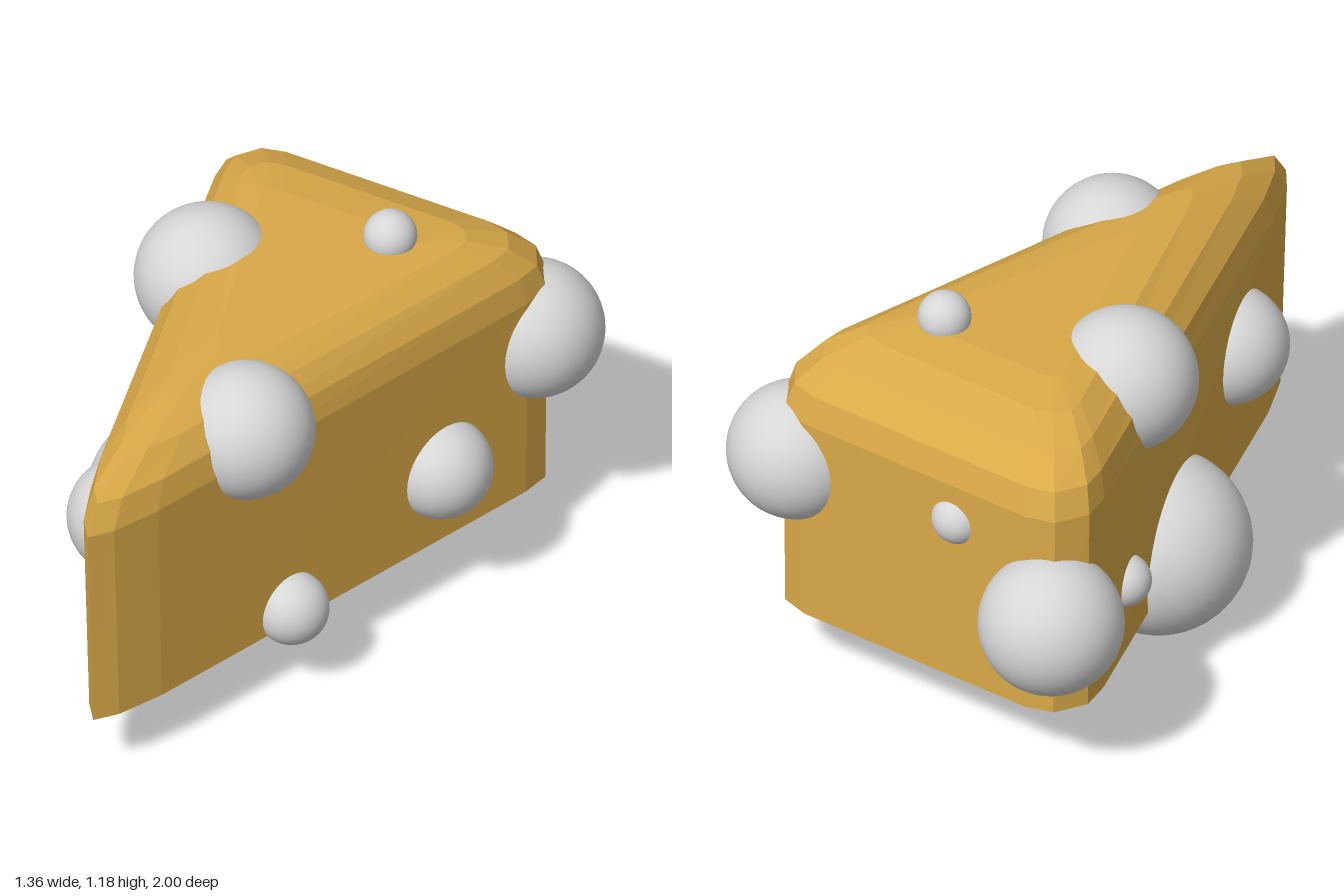
import * as THREE from 'three';

// Mirrors a half outline [x, z] (back corner -> tip) into a closed loop
function mirrorOutline(half) {
  const left = half.slice(0, -1).reverse().map(([x, z]) => [-x, z]);
  return [...half, ...left];
}

// Wedge outlines: foot, shoulder (where the rounding starts) and flat top
const shoulder = mirrorOutline([[0.39, -0.805], [0.476, -0.78], [0.532, -0.69], [0.52, -0.6],
  [0.11, 0.79], [0.05, 0.935], [0, 1]]);
const foot = shoulder.map(([x, z]) => [x * 0.99, z > 0 ? z * 0.967 : z]);
const flatTop = mirrorOutline([[0.2, -0.46], [0.23, -0.455], [0.25, -0.44], [0.25, -0.42],
  [0.03, 0.2], [0.015, 0.24], [0, 0.25]]);

function wedgeGeometry() {
  const rings = [foot.map(([x, z]) => [x, 0.205, z])];
  // Elliptical rounding from the walls to the top
  const steps = 4;
  for (let k = 0; k <= steps; k++) {
    const a = (k / steps) * Math.PI / 2;
    const s = 1 - Math.cos(a);
    const y = 0.87 + 0.22 * Math.sin(a);
    rings.push(shoulder.map(([x, z], i) => [
      x + (flatTop[i][0] - x) * s, y, z + (flatTop[i][1] - z) * s]));
  }
  const n = shoulder.length;
  const positions = rings.flat(2);
  const index = [];
  for (let r = 0; r < rings.length - 1; r++) {
    for (let i = 0; i < n; i++) {
      const a = r * n + i, b = r * n + (i + 1) % n;
      index.push(a, a + n, b, b, a + n, b + n);
    }
  }
  // Bottom and top caps
  const bottomCentre = positions.length / 3, topCentre = bottomCentre + 1;
  positions.push(0, 0.205, -0.2, 0, 1.09, -0.25);
  const last = (rings.length - 1) * n;
  for (let i = 0; i < n; i++) {
    const j = (i + 1) % n;
    index.push(bottomCentre, i, j, topCentre, last + j, last + i);
  }
  const indexed = new THREE.BufferGeometry();
  indexed.setAttribute('position', new THREE.Float32BufferAttribute(positions, 3));
  indexed.setIndex(index);
  const geometry = indexed.toNonIndexed();
  geometry.computeVertexNormals();
  return geometry;
}

export function createModel() {
  const model = new THREE.Group();
  model.name = 'cheeseWedge';

  const cheese = new THREE.MeshStandardMaterial({ color: 0xd9a948 });
  cheese.name = 'cheese yellow';
  cheese.flatShading = true;
  const grey = new THREE.MeshStandardMaterial({ color: 0xd6d6d6 });
  grey.name = 'light grey';

  const wedge = new THREE.Mesh(wedgeGeometry(), cheese);
  wedge.name = 'wedge';
  model.add(wedge);

  // Balls embedded in the wedge: x, y, z, radius
  const balls = [
    ['lowerRightBall', -0.275, 0.27, 0, 0.27],
    ['backRightCornerBall', -0.47, 0.525, -0.79, 0.21],
    ['backLeftCornerBall', 0.475, 0.695, -0.718, 0.202],
    ['upperRightBall', -0.285, 0.945, -0.175, 0.211],
    ['upperLeftBall', 0.158, 0.912, 0.375, 0.2],
    ['topBall', 0.178, 1.105, -0.412, 0.077],
    ['middleLeftBall', 0.41, 0.445, -0.3, 0.15],
    ['lowerLeftBall', 0.258, 0.265, 0.285, 0.108],
    ['frontRightBall', -0.14, 0.596, 0.528, 0.175],
    ['smallRightBall', -0.435, 0.425, -0.385, 0.078],
    ['smallBackBall', -0.13, 0.74, -0.77, 0.077],
  ];
  const sphere = new THREE.SphereGeometry(1, 40, 24);
  for (const [name, x, y, z, r] of balls) {
    const ball = new THREE.Mesh(sphere, grey);
    ball.name = name;
    ball.position.set(x, y, z);
    ball.scale.setScalar(r);
    model.add(ball);
  }
  return model;
}
